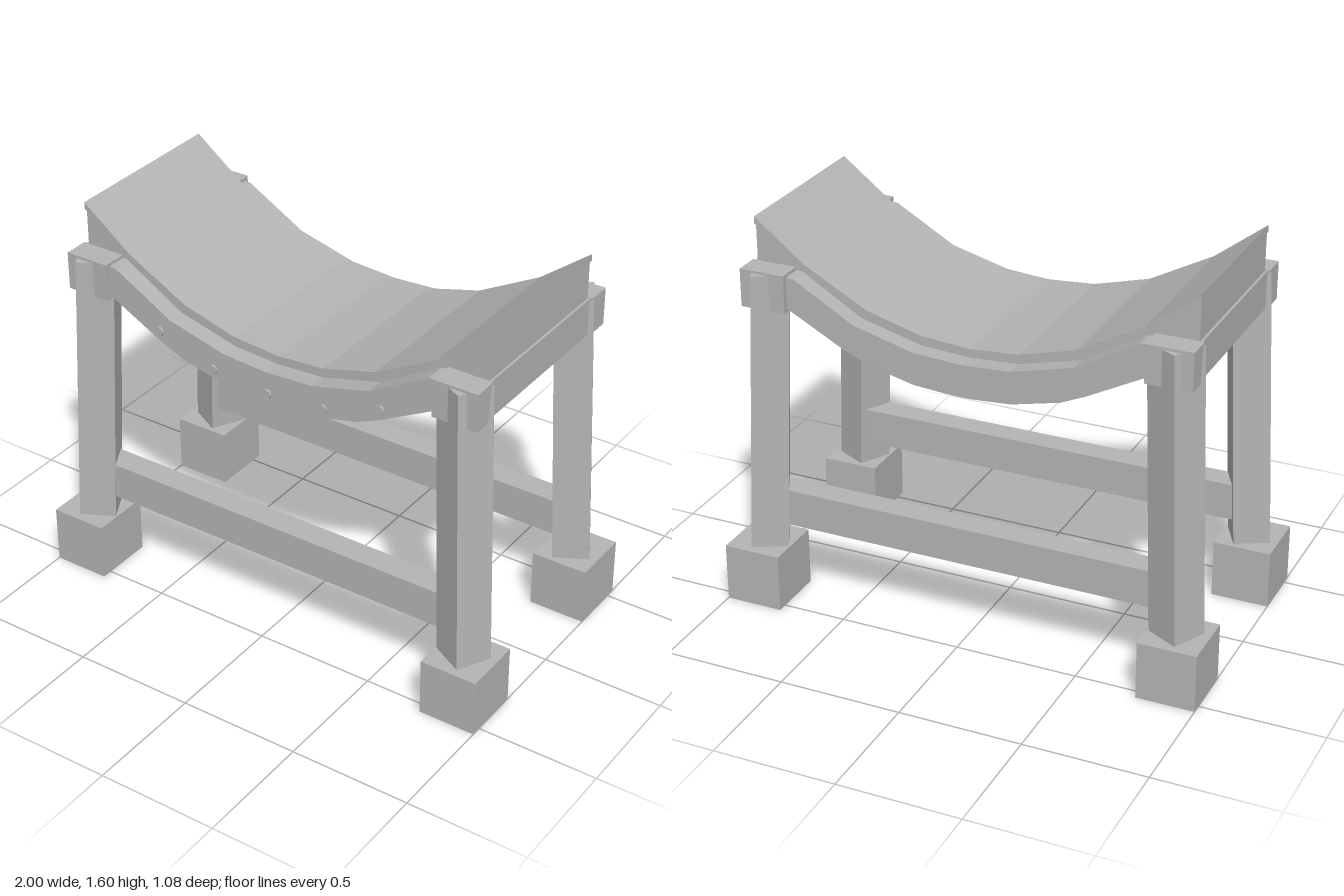
import * as THREE from 'three';

export function createModel() {
  const root = new THREE.Group();
  root.name = 'curvedStool';
  const grey = new THREE.MeshStandardMaterial({ color: 0xb4b4b4, flatShading: true });
  grey.name = 'plain grey';

  function add(name, geometry, x = 0, y = 0, z = 0) {
    const mesh = new THREE.Mesh(geometry, grey);
    mesh.name = name;
    mesh.position.set(x, y, z);
    root.add(mesh);
    return mesh;
  }

  // Box given by its limits on each axis
  function block(name, [x0, x1], [y0, y1], [z0, z1]) {
    return add(name, new THREE.BoxGeometry(x1 - x0, y1 - y0, z1 - z0),
      (x0 + x1) / 2, (y0 + y1) / 2, (z0 + z1) / 2);
  }

  // Front outline extruded evenly to both sides of z = 0
  function slab(name, points, halfDepth) {
    const shape = new THREE.Shape(points.map(([x, y]) => new THREE.Vector2(x, y)));
    return add(name, new THREE.ExtrudeGeometry(shape, { depth: halfDepth * 2, bevelEnabled: false }),
      0, 0, -halfDepth);
  }

  // Right half of a curve, mirrored to run from -x to +x
  const mirrored = (half) => [
    ...half.slice().reverse().filter(([x]) => x > 0).map(([x, y]) => [-x, y]),
    ...half,
  ];

  // Curves of the sagging seat
  const seatTop = mirrored([[0, 1.22], [0.2, 1.235], [0.43, 1.298], [0.69, 1.438], [0.9, 1.6]]);
  const seatUnder = mirrored([[0, 1.185], [0.2, 1.197], [0.45, 1.262], [0.7, 1.41], [0.9, 1.572]]);
  const bodyTop = mirrored([[0, 1.185], [0.2, 1.197], [0.45, 1.262], [0.7, 1.405], [0.78, 1.41]]);
  const bodyUnder = mirrored([[0.03, 1.052], [0.2, 1.064], [0.4, 1.112], [0.5, 1.157], [0.78, 1.305]]);

  slab('seatPlate', [...seatUnder, ...seatTop.slice().reverse()], 0.362);
  slab('seatBody', [...bodyUnder, ...bodyTop.slice().reverse()], 0.435);

  // Low pegs along the front of the seat body
  [[-0.5, 1.2], [-0.25, 1.117], [0, 1.095], [0.25, 1.117], [0.5, 1.2]].forEach(([x, y]) => {
    const peg = new THREE.CylinderGeometry(0.02, 0.02, 0.03, 8);
    peg.rotateX(Math.PI / 2);
    add('peg', peg, x, y, 0.429);
  });

  for (const sx of [-1, 1]) {
    // Wedge filling the space between raised seat end and end beam
    slab('seatEndWedge', [[sx * 0.68, 1.4], [sx * 0.898, 1.4], [sx * 0.898, 1.573], [sx * 0.7, 1.412]], 0.352);

    const span = (a, b, s) => (s > 0 ? [a, b] : [-b, -a]);
    block('endBeam', span(0.75, 0.908, sx), [1.265, 1.418], [-0.37, 0.37]);

    for (const sz of [-1, 1]) {
      block('cornerBlock', span(0.73, 0.917, sx), [1.265, 1.42], span(0.355, 0.457, sz));
      block('foot', span(0.763, 1, sx), [0, 0.24], span(0.29, 0.542, sz));

      // Leg: twisted square post leaning inward toward the top
      const leg = new THREE.BoxGeometry(0.148, 1.19, 0.148);
      leg.rotateY(-0.49 * sx * sz);
      leg.translate(0, 0.815, 0);
      const p = leg.attributes.position;
      for (let i = 0; i < p.count; i++) {
        const t = (p.getY(i) - 0.22) / 1.19;
        p.setX(i, p.getX(i) + sx * (0.87 - 0.047 * t));
        p.setZ(i, p.getZ(i) + sz * (0.41 - 0.022 * t));
      }
      leg.computeVertexNormals();
      add('leg', leg);
    }
  }

  // Long stretchers at front and back
  for (const s of [-1, 1]) {
    block('stretcher', [-0.82, 0.82], [0.337, 0.49], s > 0 ? [0.33, 0.435] : [-0.435, -0.33]);
  }

  return root;
}
